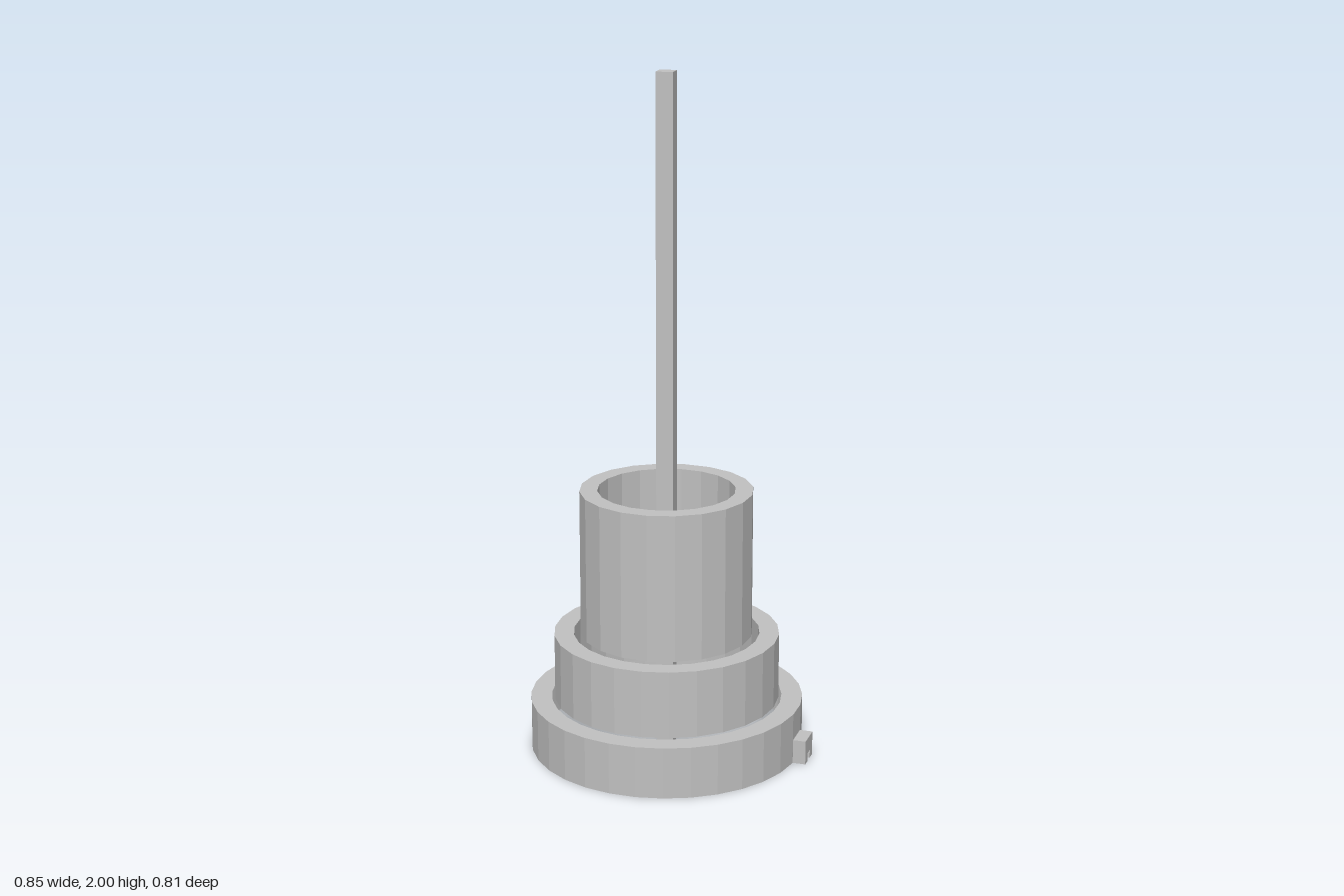
import * as THREE from 'three';

export function createModel() {
  const model = new THREE.Group();
  const grey = new THREE.MeshStandardMaterial({ color: 0xc0c0c0, flatShading: true, side: THREE.DoubleSide });
  grey.name = 'plain grey';
  const cx = -0.02;

  const add = (name, geometry, x = cx, y = 0, z = 0) => {
    const mesh = new THREE.Mesh(geometry, grey);
    mesh.name = name;
    mesh.position.set(x, y, z);
    model.add(mesh);
    return mesh;
  };

  // Stepped collars, open underneath: outer wall, top rim and optional inner wall
  const collar = (name, outer, inner, bottom, top, sides, innerWall) => {
    const profile = [[outer, bottom], [outer, top], [inner, top]];
    if (innerWall) profile.push([inner, bottom]);
    add(name, new THREE.LatheGeometry(profile.map(([r, y]) => new THREE.Vector2(r, y)), sides));
  };
  collar('baseRing', 0.404, 0.342, 0, 0.153, 32, false);
  collar('middleRing', 0.333, 0.275, 0.153, 0.353, 26, true);
  collar('upperTube', 0.254, 0.202, 0.353, 0.79, 20, true);

  // Square central rod
  add('rod', new THREE.BoxGeometry(0.05, 2, 0.05), cx, 1, 0);

  // Small block on the side of the base, with a notch at its foot
  const w = 0.0388, n = 0.012, h = 0.072;
  const face = new THREE.Shape([
    [-w, 0], [-n, 0], [-n, 0.025], [n, 0.025], [n, 0], [w, 0], [w, h], [-w, h],
  ].map(([x, y]) => new THREE.Vector2(x, y)));
  const lug = new THREE.ExtrudeGeometry(face, { depth: 0.038, bevelEnabled: false });
  const angle = Math.PI / 32;
  const reach = 0.404 * Math.cos(angle);
  const block = add('sideBlock', lug, cx + reach * Math.cos(angle), 0, reach * Math.sin(angle));
  block.rotation.y = Math.PI / 2 - angle;

  return model;
}
